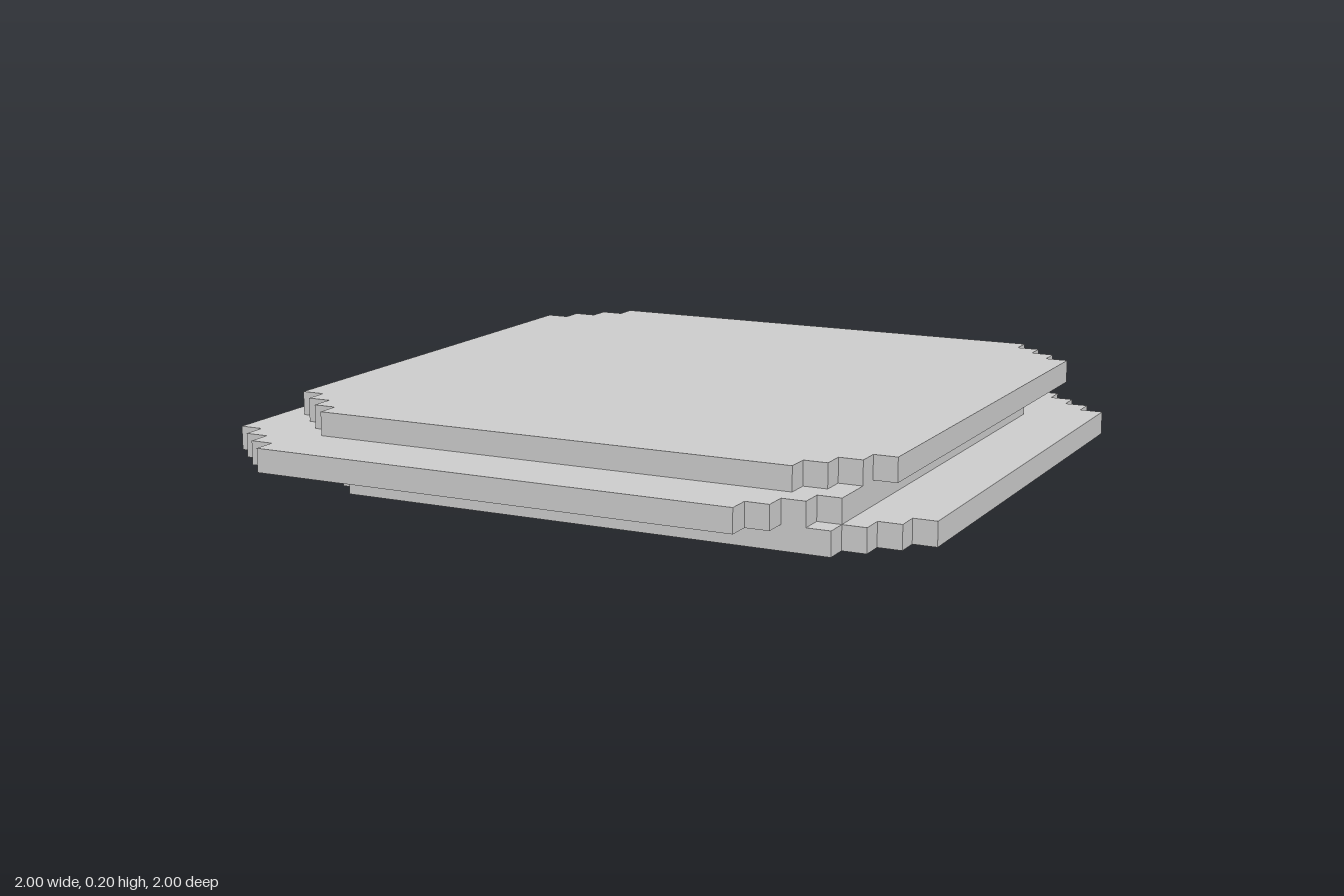
import * as THREE from 'three';

const U = 1 / 15;      // one block
const HALF = 13.5 * U; // half width of a plate
const STEPS = 3;       // stair steps cut from each corner

// Square outline with stair-stepped corners, counter-clockwise
function plateOutline() {
  const corner = [];
  for (let i = 0; i <= STEPS; i++) {
    const x = HALF - i * U, y = HALF - (STEPS - i) * U;
    if (i > 0) corner.push(new THREE.Vector2(x, y - U));
    corner.push(new THREE.Vector2(x, y));
  }
  const points = [];
  const origin = new THREE.Vector2();
  for (let q = 0; q < 4; q++) {
    for (const p of corner) points.push(p.clone().rotateAround(origin, q * Math.PI / 2));
  }
  return new THREE.Shape(points);
}

export function createModel() {
  const model = new THREE.Group();
  model.name = 'stackedPlates';
  const material = new THREE.MeshStandardMaterial({ color: 0xcccccc, flatShading: true });

  // One plate lying flat, one block thick, base at y = 0
  const geometry = new THREE.ExtrudeGeometry(plateOutline(), { depth: U, bevelEnabled: false });
  geometry.rotateX(-Math.PI / 2);

  // Three plates, each shifted sideways; offsets in blocks
  const plates = [
    ['bottomPlate', 1.5, -0.5],
    ['middlePlate', -1.5, 1.5],
    ['topPlate', -0.5, -1.5],
  ];
  plates.forEach(([name, x, z], layer) => {
    const plate = new THREE.Mesh(geometry, material);
    plate.name = name;
    plate.position.set(x * U, layer * U, z * U);
    model.add(plate);
  });
  return model;
}
